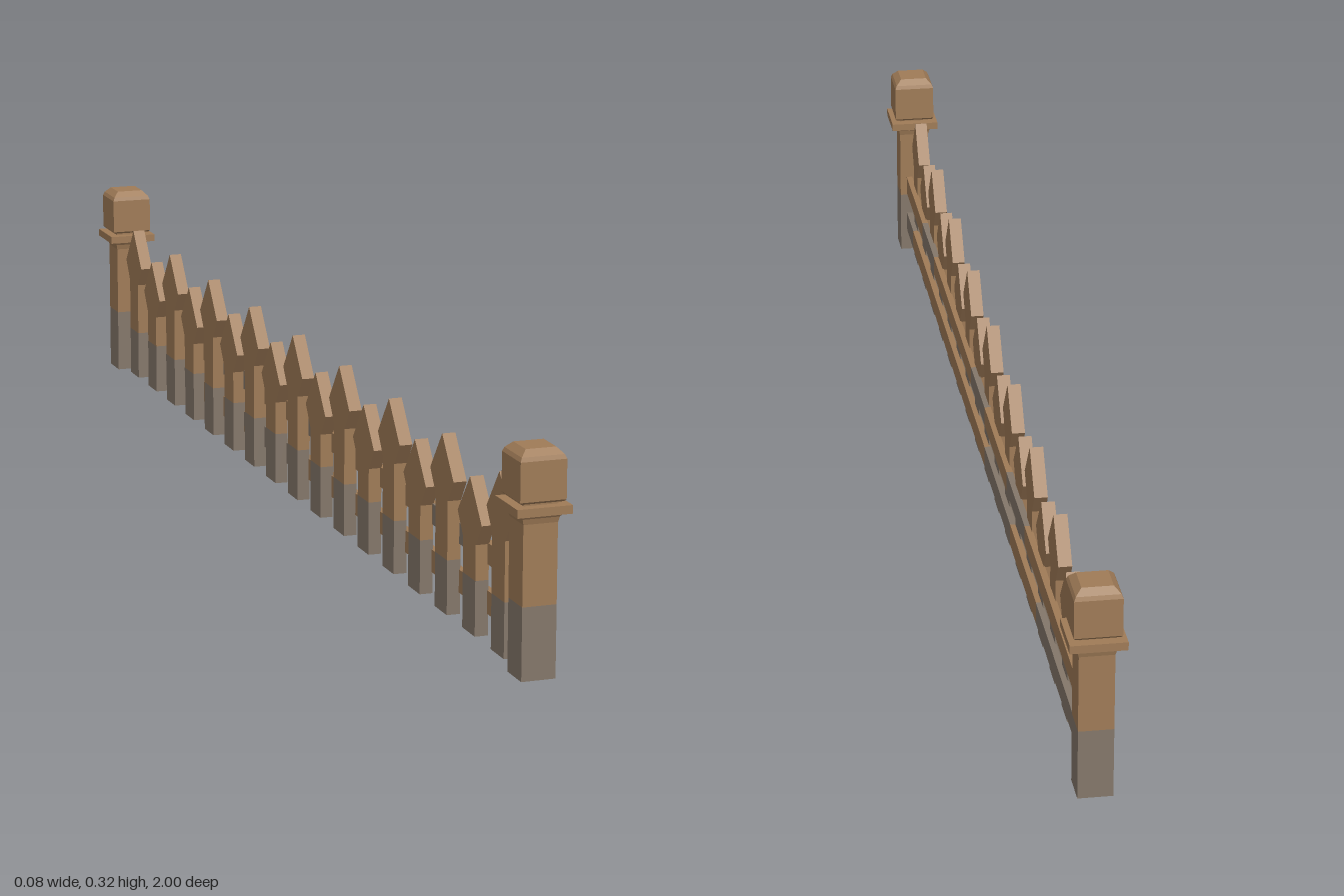
import * as THREE from 'three';

const wood = new THREE.MeshStandardMaterial({ color: 0x9f7b57 });
wood.name = 'brown wood';
const weathered = new THREE.MeshStandardMaterial({ color: 0x84776a });
weathered.name = 'weathered grey wood';

function add(parent, name, geometry, material) {
  const mesh = new THREE.Mesh(geometry, material);
  mesh.name = name;
  parent.add(mesh);
  return mesh;
}

// Square turned solid from [half width, y] pairs, with hard edges
function squareSolid(profile) {
  const points = profile.map(([w, y]) => new THREE.Vector2(w * Math.SQRT2, y));
  const geometry = new THREE.LatheGeometry(points, 4, Math.PI / 4).toNonIndexed();
  geometry.computeVertexNormals();
  return geometry;
}

// Box from its limits
function slab(x0, x1, y0, y1, z0, z1) {
  return new THREE.BoxGeometry(x1 - x0, y1 - y0, z1 - z0)
    .translate((x0 + x1) / 2, (y0 + y1) / 2, (z0 + z1) / 2);
}

function createPost(z) {
  const post = new THREE.Group();
  post.name = 'post';
  add(post, 'postBase', squareSolid([[0, 0], [0.025, 0], [0.025, 0.105]]), weathered);
  add(post, 'postShaft', squareSolid([
    [0.025, 0.105], [0.025, 0.22], [0.027, 0.228], [0.031, 0.234],
  ]), wood);
  add(post, 'postCollar', squareSolid([
    [0, 0.234], [0.04, 0.234], [0.04, 0.246], [0.025, 0.246], [0.025, 0.251],
  ]), wood);
  add(post, 'postCap', squareSolid([
    [0, 0.25], [0.031, 0.25], [0.0335, 0.253], [0.0335, 0.309],
    [0.031, 0.315], [0.022, 0.324], [0, 0.324],
  ]), wood);
  post.position.z = z;
  return post;
}

// Pointed picket: grey foot, brown shaft and spear head
const back = -0.014, thickness = 0.02, footTop = 0.085, shaft = 0.024;
function createPicket(z, tip) {
  const picket = new THREE.Group();
  picket.name = 'picket';
  const head = 0.046, wide = tip - 0.06, neck = tip - 0.093;
  const shape = new THREE.Shape([
    [-shaft, footTop], [shaft, footTop], [shaft, neck], [head, wide],
    [0, tip], [-head, wide], [-shaft, neck],
  ].map(([u, y]) => new THREE.Vector2(u, y)));
  const geometry = new THREE.ExtrudeGeometry(shape, { depth: thickness, bevelEnabled: false })
    .rotateY(Math.PI / 2).translate(back, 0, 0);
  add(picket, 'picketBoard', geometry, wood);
  add(picket, 'picketFoot', slab(back, back + thickness, 0.004, footTop, -shaft, shaft), weathered);
  picket.position.z = z;
  return picket;
}

// Rail cut into lengths, alternating between the two wood colours
function createRail(name, y0, y1, cuts, startsGrey) {
  const rail = new THREE.Group();
  rail.name = name;
  for (let i = 0; i < cuts.length - 1; i++) {
    const grey = (i % 2 === 0) === startsGrey;
    add(rail, 'railLength', slab(0.004, 0.014, y0, y1, cuts[i + 1], cuts[i]), grey ? weathered : wood);
  }
  return rail;
}

export function createModel() {
  const fence = new THREE.Group();
  fence.name = 'picketFence';

  for (const z of [0.96, -0.96]) fence.add(createPost(z));

  // Tall and short pickets alternate along the fence
  for (let i = 0; i < 17; i++) {
    fence.add(createPicket(0.87 - i * 0.10875, i % 2 ? 0.23 : 0.265));
  }

  fence.add(createRail('upperRail', 0.108, 0.139,
    [0.94, 0.72, 0.57, 0.12, -0.03, -0.26, -0.44, -0.94], false));
  fence.add(createRail('lowerRail', 0.036, 0.07,
    [0.94, 0.85, -0.03, -0.3, -0.55, -0.94].slice(0, 4).concat([-0.55, -0.94]), true));

  return fence;
}
